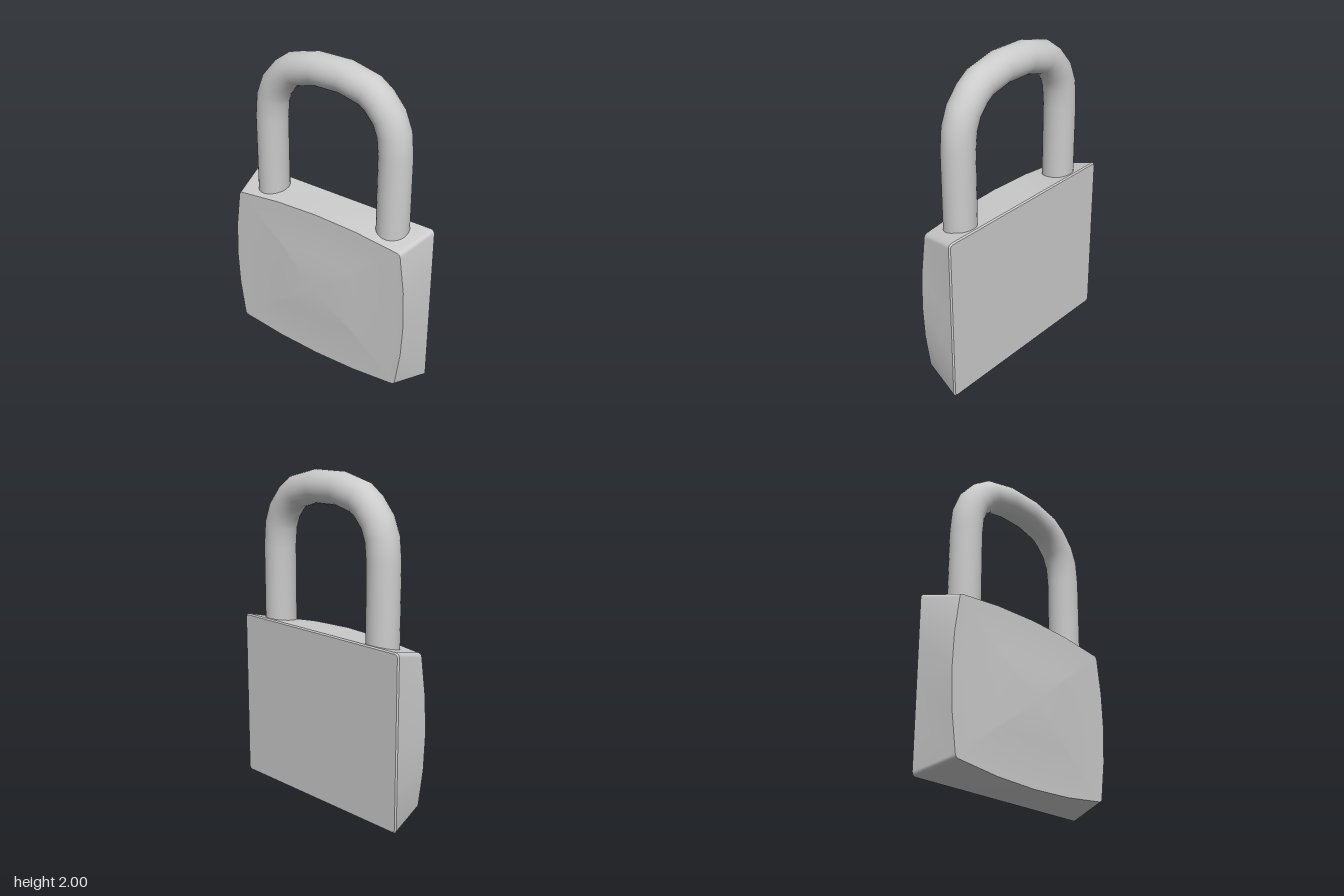
import * as THREE from 'three';
import { toCreasedNormals } from 'three/addons/utils/BufferGeometryUtils.js';

const material = new THREE.MeshStandardMaterial({ color: 0xcccccc });

// Skin a list of closed rings of equal length; a ring may shrink to one point.
function loft(rings, crease) {
  const n = rings[0].length;
  const points = rings.flat();
  const index = [];
  const addFace = (a, b, c) => {
    const [p, q, r] = [points[a], points[b], points[c]];
    if (!p.equals(q) && !q.equals(r) && !r.equals(p)) index.push(a, b, c);
  };
  for (let i = 0; i < rings.length - 1; i++) {
    for (let j = 0; j < n; j++) {
      const a = i * n + j, b = i * n + (j + 1) % n;
      addFace(a, b, b + n);
      addFace(a, b + n, a + n);
    }
  }
  const geometry = new THREE.BufferGeometry().setFromPoints(points);
  geometry.setIndex(index);
  return toCreasedNormals(geometry, crease);
}

// Rounded rectangle in the y-z plane whose sides bow outwards.
function outline(x, halfZ, halfY, radius, bow, scale = 1) {
  const corners = [];
  for (let k = 0; k < 4; k++) {
    const sz = k === 0 || k === 3 ? 1 : -1, sy = k < 2 ? 1 : -1;
    const arc = [];
    for (let s = 0; s <= 4; s++) {
      const a = (k + s / 4) * Math.PI / 2;
      arc.push(new THREE.Vector3(0,
        sy * (halfY - radius) + radius * Math.sin(a),
        sz * (halfZ - radius) + radius * Math.cos(a)));
    }
    corners.push(arc);
  }
  const ring = [];
  for (let k = 0; k < 4; k++) {
    ring.push(...corners[k]);
    const a = (k + 1) * Math.PI / 2;
    const out = new THREE.Vector3(0, Math.sin(a), Math.cos(a));
    for (const t of [0.25, 0.5, 0.75]) {
      ring.push(corners[k][4].clone().lerp(corners[(k + 1) % 4][0], t)
        .addScaledVector(out, bow * 4 * t * (1 - t)));
    }
  }
  return ring.map(p => new THREE.Vector3(x, 0.535 + p.y * scale, p.z * scale));
}

// Flat plate on +x, tapering to a bowed rim and a shallow raised centre on -x.
function bodyGeometry() {
  return loft([
    outline(0.147, 0.657, 0.525, 0.02, 0, 0),
    outline(0.147, 0.657, 0.525, 0.02, 0),
    outline(0.139, 0.665, 0.533, 0.025, 0),
    outline(-0.115, 0.602, 0.472, 0.025, 0.042),
    outline(-0.115, 0.602, 0.472, 0.025, 0.042, 0.45),
    outline(-0.15, 0.602, 0.472, 0.025, 0.042, 0),
  ], 0.6);
}

// Round bar swept along a mitred path in the y-z plane.
function shackleGeometry() {
  const radius = 0.0985, sides = 28, x = 0.028, zOffset = 0.01;
  const half = [[0.443, 0.98], [0.443, 1.52], [0.43, 1.65], [0.393, 1.74],
    [0.325, 1.818], [0.262, 1.862], [0.1, 1.902]];
  const path = [...half, ...half.map(([z, y]) => [-z, y]).reverse()]
    .map(([z, y]) => new THREE.Vector3(x, y, z + zOffset));
  const normal = (p, q) => {
    const d = q.clone().sub(p).normalize();
    return new THREE.Vector3(0, -d.z, d.y);
  };
  const rings = path.map((p, i) => {
    const before = normal(path[Math.max(i - 1, 0)], path[Math.max(i, 1)]);
    const last = path.length - 1;
    const after = normal(path[Math.min(i, last - 1)], path[Math.min(i + 1, last)]);
    const miter = before.clone().add(after).normalize();
    const stretch = 1 / miter.dot(after);
    return Array.from({ length: sides }, (_, j) => {
      const a = j / sides * Math.PI * 2;
      const v = p.clone().addScaledVector(miter, radius * stretch * Math.cos(a));
      v.x += radius * Math.sin(a);
      return v;
    });
  });
  // close both ends
  rings.unshift(Array.from({ length: sides }, () => path[0].clone()));
  rings.push(Array.from({ length: sides }, () => path[path.length - 1].clone()));
  return loft(rings, 0.9);
}

export function createModel() {
  const group = new THREE.Group();
  group.name = 'padlock';
  const body = new THREE.Mesh(bodyGeometry(), material);
  body.name = 'body';
  const shackle = new THREE.Mesh(shackleGeometry(), material);
  shackle.name = 'shackle';
  group.add(body, shackle);
  return group;
}
